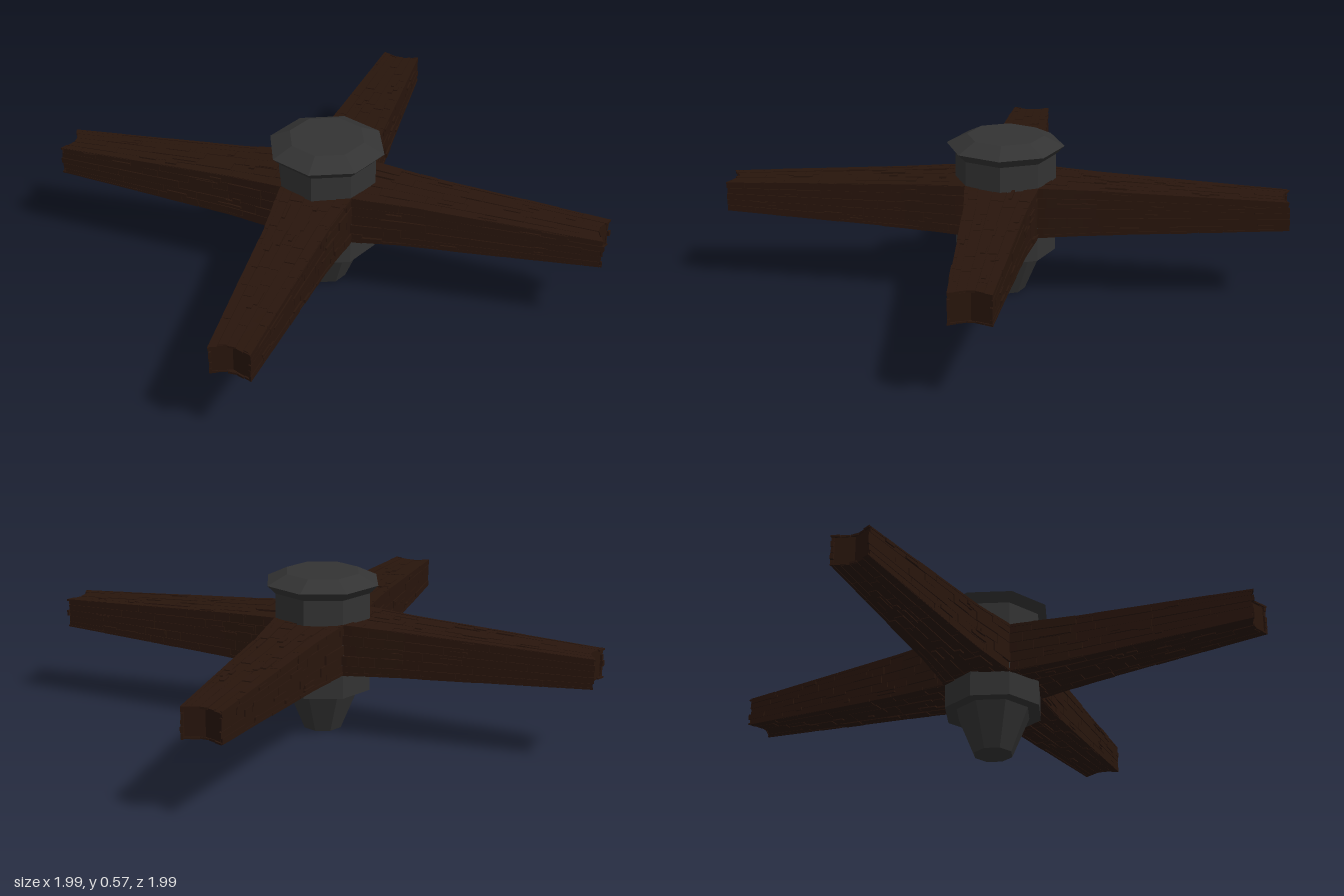
import * as THREE from 'three';
import { mergeGeometries } from 'three/addons/utils/BufferGeometryUtils.js';

// Small seeded random source for the plank layout
function makeRandom(seed) {
  let s = seed;
  return () => {
    s = (s * 16807) % 2147483647;
    return s / 2147483647;
  };
}

// Arm taper: distance from centre, half width, half height
const TAPER = [[0, 0.135, 0.093], [0.14, 0.13, 0.092], [0.33, 0.107, 0.083], [1, 0.07, 0.053]];
const ARM_Y = 0.332;

function taperAt(t) {
  let i = 0;
  while (i < TAPER.length - 2 && t > TAPER[i + 1][0]) i++;
  const a = TAPER[i], b = TAPER[i + 1];
  const k = (t - a[0]) / (b[0] - a[0]);
  return [a[1] + (b[1] - a[1]) * k, a[2] + (b[2] - a[2]) * k];
}

// A box in arm space (u across, v up, t along), bent onto the tapered arm with its notched tip
function armBox(u0, u1, v0, v1, t0, t1, across = 1) {
  const along = Math.max(1, Math.ceil((t1 - t0) / 0.08));
  const geo = new THREE.BoxGeometry(u1 - u0, v1 - v0, t1 - t0, across, 1, along);
  geo.translate((u0 + u1) / 2, (v0 + v1) / 2, (t0 + t1) / 2);
  const p = geo.attributes.position;
  for (let i = 0; i < p.count; i++) {
    const u = p.getX(i), v = p.getY(i), t = p.getZ(i);
    const [w, h] = taperAt(t);
    const notch = 0.03 * Math.max(0, 1 - Math.abs(u)) * Math.max(0, (t - 0.8) / 0.2);
    p.setXYZ(i, u * w, ARM_Y + v * h, t - notch);
  }
  return geo;
}

// Staggered planks on all four sides of one arm
function plankGeometry(random) {
  const parts = [];
  const rows = 5;
  for (let side = 0; side < 4; side++) {
    const sign = side % 2 ? 1 : -1;
    for (let row = 0; row < rows; row++) {
      const a = -1 + (2 * row) / rows + 0.012;
      const b = -1 + (2 * (row + 1)) / rows - 0.012;
      let t = 0.1;
      while (t < 0.99) {
        let end = t + 0.05 + random() * (0.08 + t * 0.22);
        if (end > 0.93) end = 0.985 + random() * 0.015;
        const top = 0.95 + random() * 0.05;
        const lo = sign > 0 ? 0.86 : -top;
        const hi = sign > 0 ? top : -0.86;
        parts.push(side < 2
          ? armBox(a, b, lo, hi, t, end - 0.003)
          : armBox(lo, hi, a, b, t, end - 0.003));
        t = end;
      }
    }
  }
  // Narrow battens laid over the planks
  for (let i = 0; i < 36; i++) {
    const t = 0.15 + random() * 0.72;
    const c = -0.85 + random() * 1.7;
    const len = 0.02 + random() * 0.07;
    const half = 0.03 + random() * 0.08;
    const sign = i % 2 ? 1 : -1;
    const lo = sign > 0 ? 0.9 : -1.03;
    const hi = sign > 0 ? 1.03 : -0.9;
    parts.push(i % 4 < 2
      ? armBox(c - half, c + half, lo, hi, t, t + len)
      : armBox(lo, hi, c - half, c + half, t, t + len));
  }
  return mergeGeometries(parts);
}

export function createModel() {
  const model = new THREE.Group();
  const wood = new THREE.MeshStandardMaterial({ color: 0x28150c, flatShading: true });
  const metal = new THREE.MeshStandardMaterial({ color: 0x333333, flatShading: true });

  // Four arms in a cross
  const names = ['frontArm', 'leftArm', 'backArm', 'rightArm'];
  names.forEach((name, i) => {
    const arm = new THREE.Group();
    arm.name = name;
    const core = new THREE.Mesh(armBox(-0.94, 0.94, -0.94, 0.94, 0, 0.985, 2), wood);
    core.name = 'armCore';
    const planks = new THREE.Mesh(plankGeometry(makeRandom(101 + i * 37)), wood);
    planks.name = 'armPlanks';
    arm.add(core, planks);
    arm.rotation.y = (i * Math.PI) / 2;
    model.add(arm);
  });

  // Octagonal hub sections: name, top radius, bottom radius, bottom y, top y
  const sections = [
    ['hubBody', 0.178, 0.178, 0.155, 0.51],
    ['capFlare', 0.208, 0.178, 0.51, 0.54],
    ['capBevel', 0.135, 0.208, 0.54, 0.575],
    ['lowerCone', 0.135, 0.07, 0, 0.155],
  ];
  for (const [name, top, bottom, y0, y1] of sections) {
    const mesh = new THREE.Mesh(new THREE.CylinderGeometry(top, bottom, y1 - y0, 8), metal);
    mesh.position.y = (y0 + y1) / 2;
    mesh.name = name;
    model.add(mesh);
  }
  return model;
}
